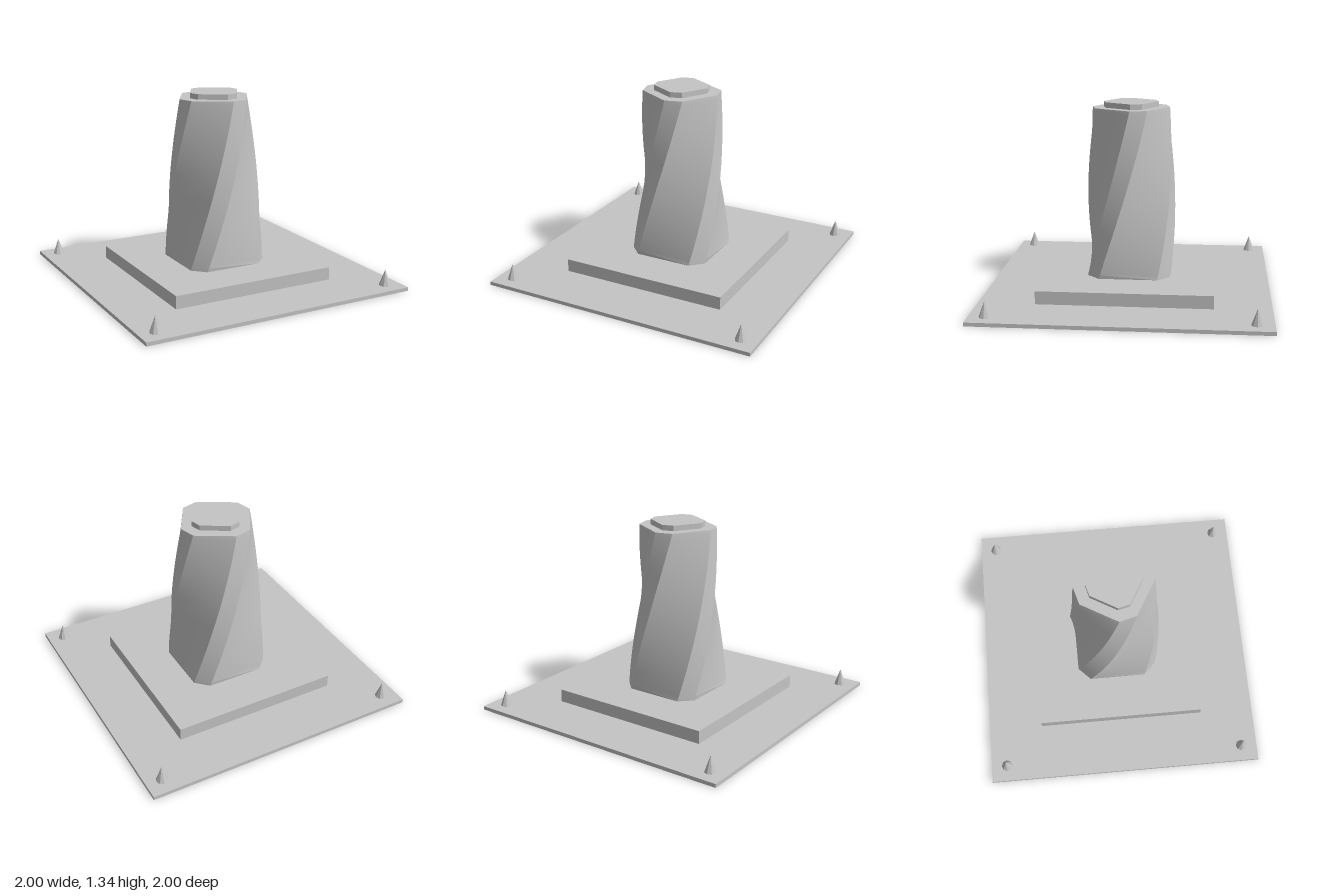
import * as THREE from 'three';
import { toCreasedNormals } from 'three/addons/utils/BufferGeometryUtils.js';

const stone = new THREE.MeshStandardMaterial({ color: 0xc4c4c4 });
stone.name = 'grey stone';

const TWIST = Math.PI / 3;

// Square outline with cut corners
function chamferedSquare(half, flat) {
  return new THREE.Shape([
    [half, -flat], [half, flat], [flat, half], [-flat, half],
    [-half, flat], [-half, -flat], [-flat, -half], [flat, -half],
  ].map(([x, y]) => new THREE.Vector2(x, y)));
}

// Upright prism standing on y = 0
function prism(half, flat, height, steps = 1) {
  const geo = new THREE.ExtrudeGeometry(chamferedSquare(half, flat), {
    depth: height, steps, bevelEnabled: false,
  });
  return geo.rotateX(-Math.PI / 2);
}

// Shaft that narrows and turns as it rises
function twistedShaft(height, taper) {
  const geo = prism(0.293, 0.206, height, 40);
  const pos = geo.attributes.position;
  const v = new THREE.Vector3();
  const up = new THREE.Vector3(0, 1, 0);
  for (let i = 0; i < pos.count; i++) {
    v.fromBufferAttribute(pos, i);
    const t = v.y / height;
    v.x -= Math.sign(v.x) * taper * t;
    v.z -= Math.sign(v.z) * taper * t;
    v.applyAxisAngle(up, TWIST * t);
    pos.setXYZ(i, v.x, v.y, v.z);
  }
  return toCreasedNormals(geo, 0.35);
}

export function createModel() {
  const model = new THREE.Group();
  model.name = 'twistedTower';

  const add = (name, geo, x, y, z) => {
    const mesh = new THREE.Mesh(geo, stone);
    mesh.name = name;
    mesh.position.set(x, y, z);
    model.add(mesh);
    return mesh;
  };

  // Ground slab and plinth
  add('baseSlab', new THREE.BoxGeometry(2, 0.026, 2), 0, 0.013, 0);
  add('plinth', new THREE.BoxGeometry(1.212, 0.092, 1.212), 0, 0.072, 0);

  // Tower and its roof cap, turned to match the top of the shaft
  add('towerShaft', twistedShaft(1.187, 0.061), 0, 0.118, 0);
  add('roofCap', prism(0.163, 0.104, 0.038), 0, 1.305, 0).rotation.y = TWIST;

  // Corner cones
  const cone = toCreasedNormals(new THREE.ConeGeometry(0.041, 0.114, 8), 0.1);
  for (const x of [-1, 1]) {
    for (const z of [-1, 1]) add('cornerCone', cone, x * 0.885, 0.083, z * 0.885);
  }
  return model;
}
